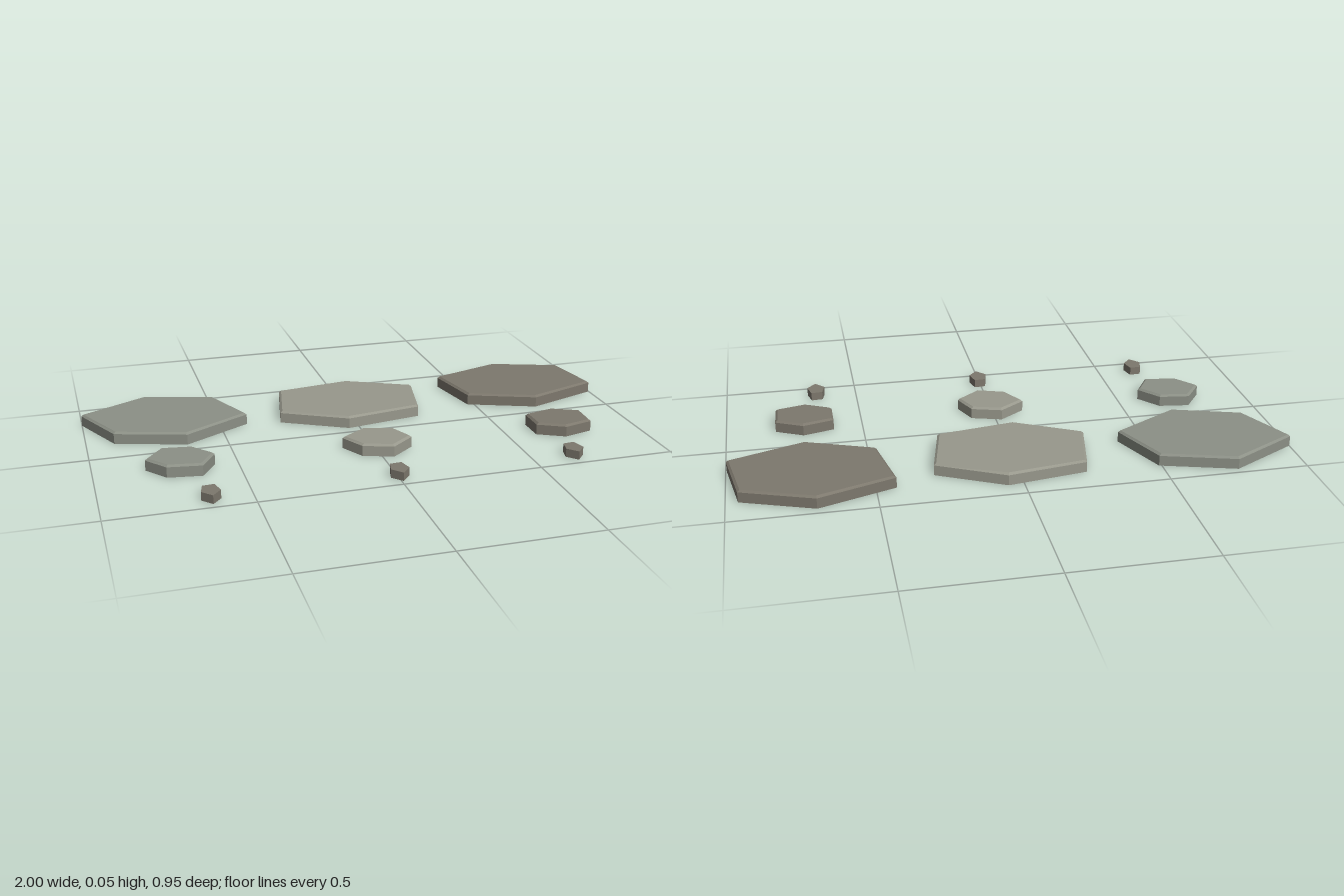
import * as THREE from 'three';

const stone = (color) => new THREE.MeshStandardMaterial({ color, flatShading: true, roughness: 0.95 });
const greenGrey = stone(0x8c9086);
const paleGrey = stone(0x98988c);
const brownGrey = stone(0x7d786d);

// Stacks outline rings [inset, height] into a closed prism; outline runs clockwise seen in x, z-down.
function prism(name, outline, rings, material) {
  const n = outline.length;
  const pts = outline.map(([x, z]) => new THREE.Vector2(x, z));
  const c = pts.reduce((s, p) => s.add(p), new THREE.Vector2()).divideScalar(n);
  const pos = [], index = [];
  for (const [inset, y] of rings) {
    for (const p of pts) {
      const d = p.clone().sub(c);
      d.setLength(d.length() - inset);
      pos.push(c.x + d.x, y, c.y + d.y);
    }
  }
  for (let r = 0; r < rings.length - 1; r++) {
    for (let i = 0; i < n; i++) {
      const a = r * n + i, b = r * n + (i + 1) % n;
      index.push(a, a + n, b, b, a + n, b + n);
    }
  }
  // Flat caps
  const top = (rings.length - 1) * n;
  for (let i = 1; i < n - 1; i++) {
    index.push(0, i, i + 1, top, top + i + 1, top + i);
  }
  const geo = new THREE.BufferGeometry();
  geo.setAttribute('position', new THREE.Float32BufferAttribute(pos, 3));
  geo.setIndex(index);
  const flat = geo.toNonIndexed();
  flat.computeVertexNormals();
  const mesh = new THREE.Mesh(flat, material);
  mesh.name = name;
  return mesh;
}

export function createModel() {
  const group = new THREE.Group();
  group.name = 'steppingStones';
  const bevelled = [[0, 0], [0, 0.038], [0.009, 0.045]];
  const plain = [[0, 0], [0, 0.031]];

  // Large paving slabs
  group.add(
    prism('rightSlab', [[-1, -0.342], [-0.755, -0.475], [-0.49, -0.398], [-0.4, -0.188],
      [-0.645, -0.048], [-0.9, -0.128]], bevelled, greenGrey),
    prism('middleSlab', [[-0.23, -0.393], [0.055, -0.436], [0.294, -0.315], [0.248, -0.087],
      [-0.04, -0.039], [-0.275, -0.167]], bevelled, paleGrey),
    prism('leftSlab', [[0.43, -0.378], [0.703, -0.47], [0.958, -0.377], [0.996, -0.151],
      [0.723, -0.053], [0.475, -0.15]], bevelled, brownGrey),
  );

  // Medium stones
  group.add(
    prism('rightStone', [[-0.82, 0.145], [-0.757, 0.06], [-0.645, 0.075], [-0.58, 0.155],
      [-0.635, 0.243], [-0.757, 0.225]], bevelled, greenGrey),
    prism('middleStone', [[-0.115, 0.14], [-0.022, 0.075], [0.088, 0.108], [0.126, 0.198],
      [0.04, 0.267], [-0.067, 0.23]], bevelled, paleGrey),
    prism('leftStone', [[0.607, 0.113], [0.72, 0.083], [0.82, 0.133], [0.815, 0.236],
      [0.704, 0.265], [0.607, 0.214]], bevelled, brownGrey),
  );

  // Small five-sided pebbles
  const pebble = [[-0.023, 0.391], [0.019, 0.387], [0.032, 0.438], [0, 0.475], [-0.034, 0.438]];
  [['rightPebble', -0.64], ['middlePebble', 0.007], ['leftPebble', 0.655]].forEach(([name, x]) => {
    group.add(prism(name, pebble.map(([px, z]) => [px + x, z]), plain, brownGrey));
  });
  return group;
}
